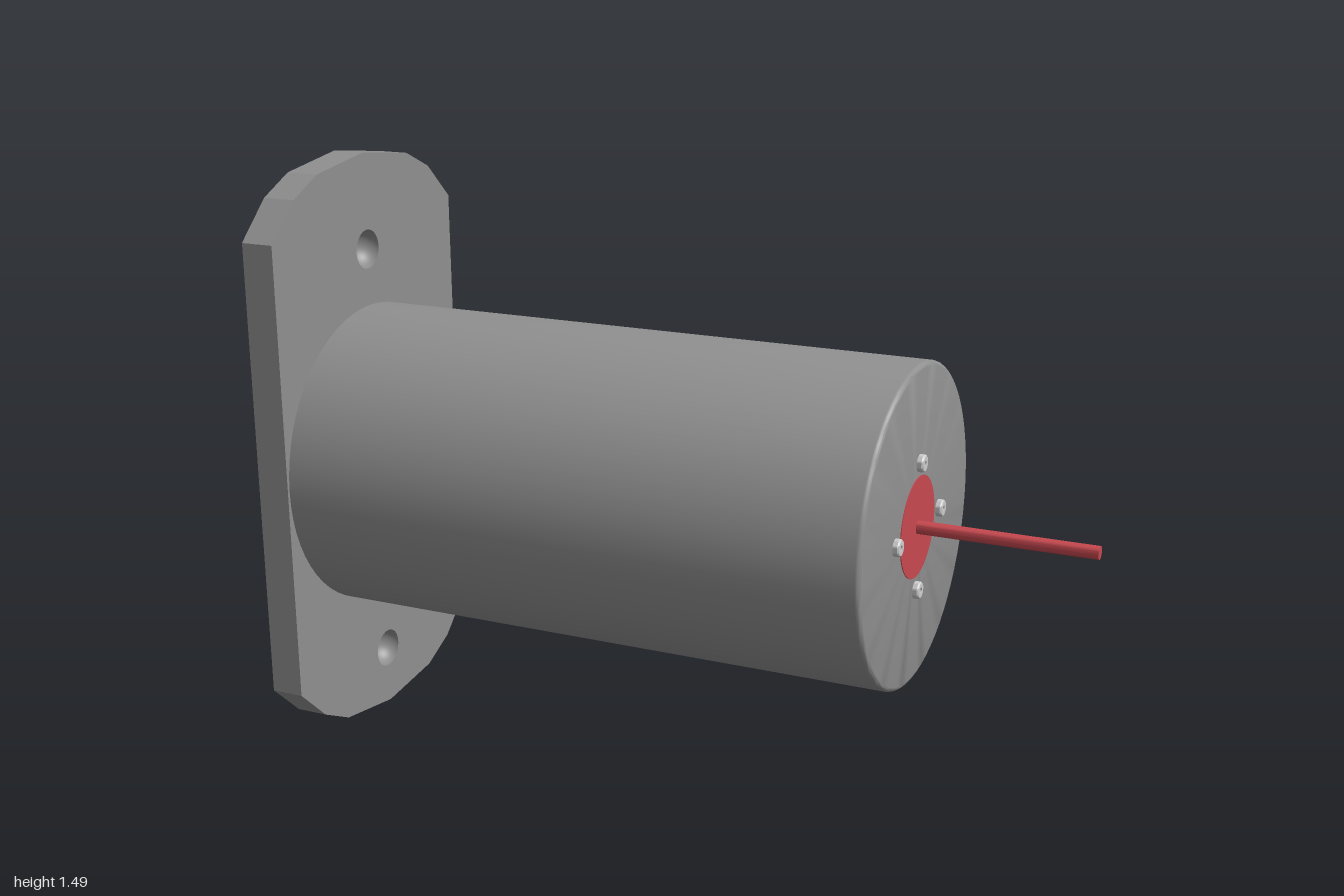
import * as THREE from 'three';
import { toCreasedNormals } from 'three/addons/utils/BufferGeometryUtils.js';

const GREY = 0x8f8f8f, STEEL = 0xcccccc, RED = 0xc6484f;
const AXIS_Y = 0.713;
const PLATE_BACK = -1, PLATE_FRONT = -0.915, DIMPLE_R = 0.05;
const HOLE_Y = [0.152, 1.247];

function add(parent, name, geometry, color, side = THREE.FrontSide) {
  const mesh = new THREE.Mesh(geometry, new THREE.MeshStandardMaterial({ color, side }));
  mesh.name = name;
  parent.add(mesh);
  return mesh;
}

// Solid of revolution about the x axis from [radius, x] points
function turned(points, segments) {
  const g = new THREE.LatheGeometry(points.map(([r, x]) => new THREE.Vector2(r, x)), segments);
  g.rotateZ(-Math.PI / 2);
  return toCreasedNormals(g, 0.6);
}

// Plate outline, mirrored across its centre line
function plateShape() {
  const half = [[0.2, 0.028], [0.3, 0.078], [0.397, 0.17], [0.397, 1.325], [0.3, 1.418], [0.2, 1.465]];
  const left = half.map(([z, y]) => [-z, y]).reverse();
  const outline = [[0, 0], ...half, [0, 1.492], ...left];
  return new THREE.Shape(outline.map(([z, y]) => new THREE.Vector2(z, y)));
}

function plateLayer(shape, from, to) {
  const g = new THREE.ExtrudeGeometry(shape, { depth: to - from, bevelEnabled: false, curveSegments: 16 });
  g.rotateY(Math.PI / 2);
  g.translate(from, 0, 0);
  return g;
}

export function createModel() {
  const model = new THREE.Group();
  model.name = 'motor';

  // Mounting plate: solid back layer, front layer with round-bottomed blind holes
  const plate = new THREE.Group();
  plate.name = 'mountingPlate';
  model.add(plate);
  const split = PLATE_FRONT - DIMPLE_R - 0.002;
  add(plate, 'plateBack', plateLayer(plateShape(), PLATE_BACK, split), GREY);
  const pierced = plateShape();
  for (const y of HOLE_Y) {
    pierced.holes.push(new THREE.Path().absarc(0, y, DIMPLE_R, 0, Math.PI * 2, true));
  }
  add(plate, 'plateFront', plateLayer(pierced, split, PLATE_FRONT), GREY);
  for (const y of HOLE_Y) {
    const bowl = new THREE.SphereGeometry(DIMPLE_R, 32, 12, 0, Math.PI * 2, 0, Math.PI / 2);
    bowl.rotateZ(Math.PI / 2);
    add(plate, 'mountingHole', bowl, GREY, THREE.DoubleSide).position.set(PLATE_FRONT, y, 0);
  }

  // Cylindrical housing with a small rounded front rim
  const R = 0.39, END = 0.57, rim = 0.012;
  const profile = [[0, PLATE_FRONT], [R, PLATE_FRONT]];
  for (let i = 0; i <= 4; i++) {
    const a = (i / 4) * Math.PI / 2;
    profile.push([R - rim + rim * Math.cos(a), END - rim + rim * Math.sin(a)]);
  }
  profile.push([0, END]);
  add(model, 'housing', turned(profile, 64), GREY).position.y = AXIS_Y;

  // Red bearing cover and drive shaft
  add(model, 'bearingCover', turned([[0, END - 0.01], [0.123, END - 0.01], [0.123, END + 0.002], [0, END + 0.002]], 48), RED)
    .position.y = AXIS_Y;
  add(model, 'shaft', turned([[0, END - 0.01], [0.016, END - 0.01], [0.016, 1], [0, 1]], 24), RED)
    .position.y = AXIS_Y;

  // Four socket-head screws around the cover
  const screw = turned([
    [0, END - 0.01], [0.021, END - 0.01], [0.021, 0.581], [0.018, 0.585],
    [0.007, 0.585], [0.007, 0.574], [0, 0.574],
  ], 24);
  for (let i = 0; i < 4; i++) {
    const a = i * Math.PI / 2;
    add(model, 'screw', screw, STEEL)
      .position.set(0, AXIS_Y + 0.156 * Math.cos(a), 0.156 * Math.sin(a));
  }

  return model;
}
